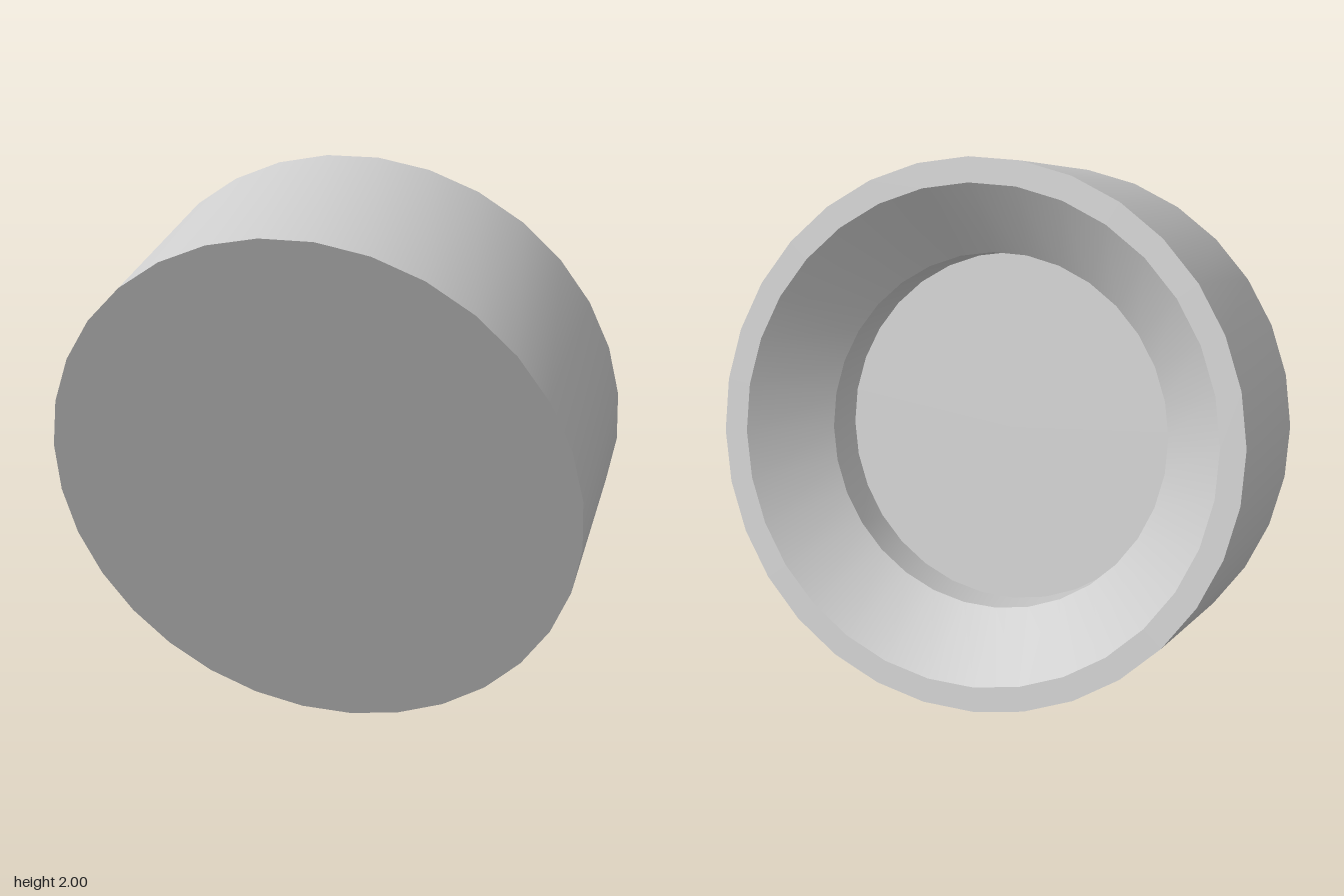
import * as THREE from 'three';
import { toCreasedNormals } from 'three/addons/utils/BufferGeometryUtils.js';

export function createModel() {
  const group = new THREE.Group();
  const material = new THREE.MeshStandardMaterial({ color: 0xcccccc });

  const radius = 0.933, half = 0.36;   // outer drum
  const rimRadius = 0.848, boreRadius = 0.62;
  const boreTop = half - 0.225, floor = half - 0.4;

  // Closed profile: solid face, outer wall, rim, tapered seat, straight bore, floor
  const profile = [
    [0, -half], [radius, -half], [radius, half], [rimRadius, half],
    [boreRadius, boreTop], [boreRadius, floor], [0, floor],
  ].map(([r, y]) => new THREE.Vector2(r, y));

  const geometry = toCreasedNormals(new THREE.LatheGeometry(profile, 32), 0.5);
  const cup = new THREE.Mesh(geometry, material);
  cup.name = 'recessedCup';

  // Tilt the open end towards the back, up and slightly to the right
  const axis = new THREE.Vector3(-0.229, 0.3475, -0.909).normalize();
  cup.quaternion.setFromUnitVectors(new THREE.Vector3(0, 1, 0), axis);
  cup.position.y = 1;
  group.add(cup);
  return group;
}
